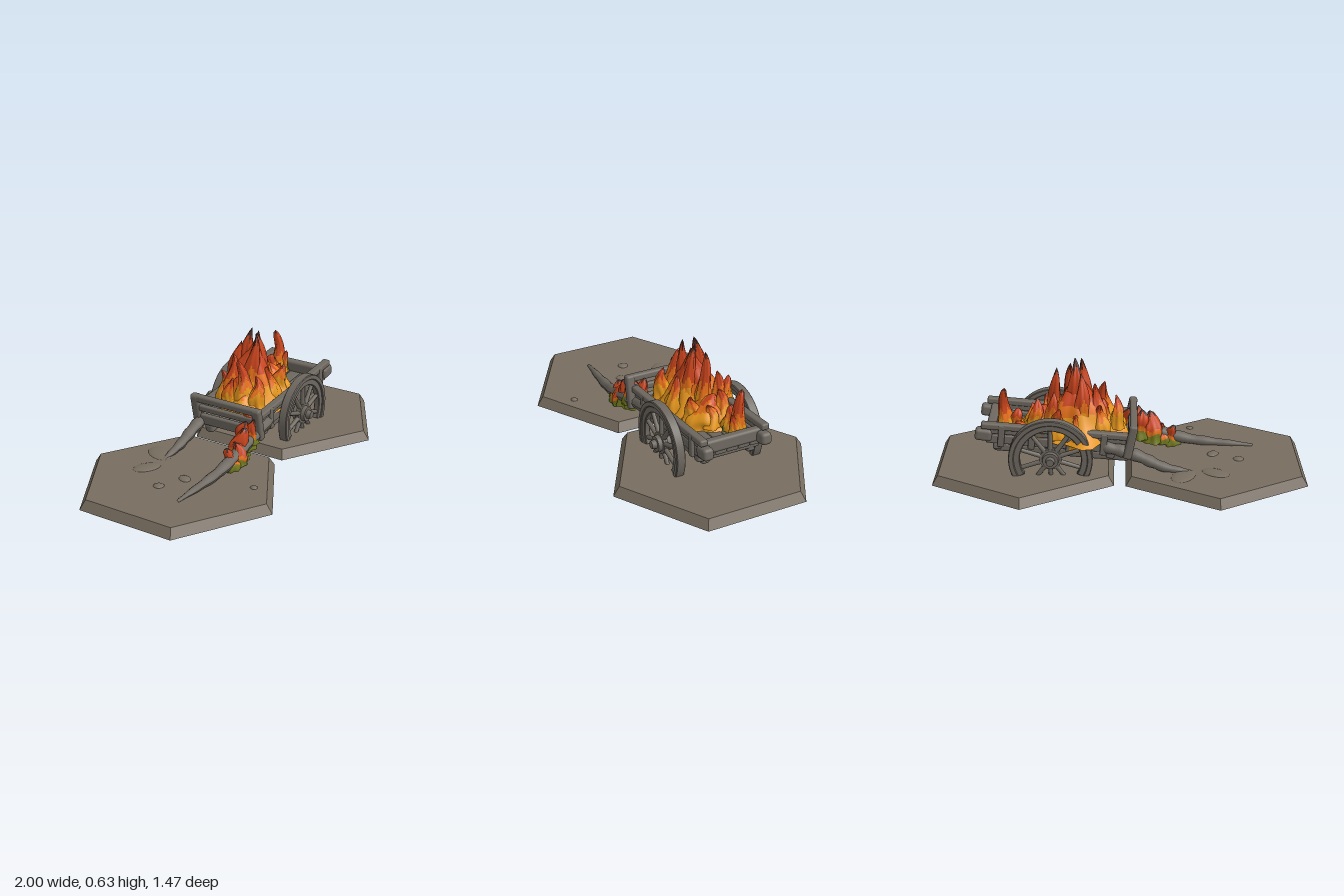
import * as THREE from 'three';
import { RoundedBoxGeometry } from 'three/addons/geometries/RoundedBoxGeometry.js';

const mat = (name, color) => {
  const m = new THREE.MeshStandardMaterial({ color });
  m.name = name;
  return m;
};

export function createModel() {
  const model = new THREE.Group();
  model.name = 'burningCart';
  const stone = mat('baseBrown', 0x776d60);
  const wood = mat('weatheredWood', 0x6d675f);
  const fire = [
    mat('mossGreen', 0x71781f), mat('amber', 0xe8981c), mat('orange', 0xe5701a),
    mat('redOrange', 0xc9441c), mat('char', 0x4a2a24),
  ];

  const add = (parent, name, geo, material, x = 0, y = 0, z = 0) => {
    const m = new THREE.Mesh(geo, material);
    m.name = name;
    m.position.set(x, y, z);
    parent.add(m);
    return m;
  };

  // Two bevelled hexagonal bases
  for (const [x, z] of [[-0.445, 0.25], [0.445, -0.255]]) {
    const geo = new THREE.CylinderGeometry(0.52, 0.555, 0.05, 6).toNonIndexed();
    geo.rotateY(Math.PI / 6);
    geo.computeVertexNormals();
    add(model, 'hexBase', geo, stone, x, 0.025, z);
  }

  // Low lumps of earth: x, z, width, depth
  for (const [x, z, w, d] of [[-0.55, 0.06, 0.08, 0.05], [-0.42, -0.06, 0.06, 0.09],
    [-0.43, 0.27, 0.03, 0.04], [-0.58, 0.28, 0.03, 0.03], [-0.16, 0.52, 0.02, 0.02]]) {
    add(model, 'earthLump', new THREE.SphereGeometry(1, 16, 8), stone, x, 0.048, z).scale.set(w, 0.012, d);
  }

  // Cart frame: local +x is the rear of the cart, local z runs across it
  const cart = new THREE.Group();
  cart.name = 'cart';
  cart.position.set(0.31, 0, -0.195);
  cart.rotation.y = Math.PI / 6;
  model.add(cart);

  const bed = new THREE.Group();
  bed.name = 'cartBed';
  bed.position.y = 0.225;
  bed.rotation.z = 0.09;
  cart.add(bed);
  const plank = (name, w, h, d, x, y, z, rz = 0) => {
    const m = add(bed, name, new RoundedBoxGeometry(w, h, d, 2, Math.min(w, h, d) * 0.3), wood, x, y, z);
    m.rotation.z = rz;
    return m;
  };

  // Floor boards and cross bearers
  for (let i = 0; i < 5; i++) plank('floorBoard', 0.76, 0.025, 0.064, -0.04, -0.03, (i - 2) * 0.066);
  for (const x of [-0.32, 0, 0.28]) plank('bearer', 0.045, 0.04, 0.36, x, -0.06, 0);

  // Side boards, rails and stakes
  for (const s of [-1, 1]) {
    plank('lowerSideBoard', 0.76, 0.05, 0.025, -0.04, -0.02, s * 0.168);
    plank('upperSideBoard', 0.74, 0.04, 0.022, -0.05, 0.03, s * 0.172);
    plank('sideRail', 0.78, 0.035, 0.045, -0.02, 0.055, s * 0.175);
    plank('chassisBeam', 0.72, 0.05, 0.05, -0.06, -0.075, s * 0.13);
    plank('railEnd', 0.09, 0.065, 0.06, 0.355, 0.0, s * 0.165, 0.06);
    for (const x of [-0.28, -0.1, 0.1, 0.26]) plank('sideStake', 0.035, 0.12, 0.02, x, 0.005, s * 0.19);
    plank('frontPost', 0.045, 0.19, 0.05, -0.42, 0.035, s * 0.195, 0.12);
  }
  plank('tailBeam', 0.05, 0.07, 0.35, 0.32, 0.01, 0);
  plank('frontTopBar', 0.04, 0.04, 0.44, -0.43, 0.11, 0);
  plank('frontMiddleBar', 0.03, 0.035, 0.4, -0.422, 0.05, 0);
  plank('frontBoard', 0.03, 0.06, 0.4, -0.415, -0.02, 0);

  // Half-sunk wheels: open arcs that end inside the base
  const arc = (outer, inner, depth, bevelSize) => {
    const cut = Math.asin(0.1 / outer), shape = new THREE.Shape();
    shape.absarc(0, 0, outer, -cut, Math.PI + cut, false);
    shape.absarc(0, 0, inner, Math.PI + cut, -cut, true);
    const geo = new THREE.ExtrudeGeometry(shape, {
      depth, curveSegments: 40, bevelSize, bevelThickness: bevelSize, bevelSegments: 1,
    });
    return geo.translate(0, 0, -depth / 2);
  };
  for (const s of [-1, 1]) {
    const wheel = new THREE.Group();
    wheel.name = 'wheel';
    wheel.position.set(0, 0.14, s * 0.225);
    cart.add(wheel);
    add(wheel, 'felloe', arc(0.205, 0.165, 0.025, 0.004), wood);
    add(wheel, 'tyre', arc(0.218, 0.197, 0.042, 0.004), wood);
    const parts = [['hub', 0.042, 0.05, 0.07, 0], ['hubRing', 0.058, 0.058, 0.025, 0], ['hubCap', 0.02, 0.026, 0.03, 0.045]];
    for (const [name, r1, r2, h, z] of parts) {
      add(wheel, name, new THREE.CylinderGeometry(r1, r2, h, 18), wood, 0, 0, s * z).rotation.x = s * Math.PI / 2;
    }
    for (let i = 0; i < 10; i++) {
      const a = i * Math.PI / 5 + Math.PI / 10, sin = Math.sin(a);
      const len = sin < 0 ? Math.min(0.18, 0.11 / -sin) : 0.18;
      const m = add(wheel, 'spoke', new THREE.CylinderGeometry(0.011, 0.015, len, 8), wood,
        Math.cos(a) * len / 2, sin * len / 2, 0);
      m.rotation.z = a - Math.PI / 2;
    }
  }
  add(cart, 'axle', new THREE.CylinderGeometry(0.025, 0.025, 0.45, 12), wood, 0, 0.14, 0).rotation.x = Math.PI / 2;

  // Tapered shafts sinking to the ground
  const shaft = (name, pts) => {
    const curve = new THREE.CatmullRomCurve3(pts.map(p => new THREE.Vector3(...p)));
    const n = 30, sides = 10, geo = new THREE.TubeGeometry(curve, n, 0.034, sides);
    const pos = geo.attributes.position, v = new THREE.Vector3();
    for (let i = 0; i <= n; i++) {
      const c = curve.getPointAt(i / n);
      const k = (1 - 0.75 * (i / n) ** 3) * (1 + 0.08 * Math.sin(i * 1.3));
      for (let j = 0; j <= sides; j++) {
        const id = i * (sides + 1) + j;
        v.fromBufferAttribute(pos, id).sub(c).multiplyScalar(k).add(c);
        pos.setXYZ(id, v.x, v.y, v.z);
      }
    }
    geo.computeVertexNormals();
    add(cart, name, geo, wood);
  };
  shaft('nearShaft', [[-0.28, 0.19, 0.17], [-0.5, 0.145, 0.18], [-0.75, 0.08, 0.17], [-1.1, 0.05, 0.145]]);
  shaft('farShaft', [[-0.28, 0.19, -0.17], [-0.45, 0.14, -0.18], [-0.6, 0.075, -0.19], [-0.75, 0.045, -0.19]]);

  // Flame tongue: a ridged, swaying cone coloured in bands by height
  let seed = 1;
  const flame = (name, x, y, z, r, h, { low = 0.28, high = 0.6, green = -1, power = 0.8 } = {}) => {
    const rings = 18, sides = 28, pos = [], lists = fire.map(() => []);
    const s = (seed += 1.7);
    for (let i = 0; i <= rings; i++) {
      const t = i / rings, sway = t * Math.min(r, 0.06) * 0.35;
      for (let j = 0; j < sides; j++) {
        const a = j / sides * Math.PI * 2;
        const ridge = 1 + 0.14 * Math.sin(3 * a + s + 4 * t) + 0.1 * Math.sin(7 * a + s * 2 - 3 * t) + 0.08 * Math.sin(9 * t + s);
        const rad = r * (1 - t) ** power * ridge;
        pos.push(x + rad * Math.cos(a) + sway * Math.sin(5 * t + s), y + h * t, z + rad * Math.sin(a) + sway * Math.cos(4 * t + s));
      }
    }
    for (let i = 0; i < rings; i++) for (let j = 0; j < sides; j++) {
      const t = (i + 0.5) / rings, a = j / sides * Math.PI * 2;
      const level = 0.4 * t + 0.6 * (y + h * t - low) / (high - low) + 0.06 * Math.sin(4 * a + s);
      const band = level < green ? 0 : level < 0.27 ? 1 : level < 0.45 ? 2 : level < 0.9 ? 3 : 4;
      const k = (j + 1) % sides, A = i * sides + j, B = i * sides + k, C = A + sides, D = B + sides;
      lists[band].push(A, C, B, B, C, D);
    }
    const geo = new THREE.BufferGeometry();
    geo.setAttribute('position', new THREE.Float32BufferAttribute(pos, 3));
    geo.setIndex(lists.flat());
    let start = 0;
    lists.forEach((l, i) => { if (l.length) geo.addGroup(start, l.length, i); start += l.length; });
    geo.computeVertexNormals();
    add(model, name, geo, fire);
  };

  // Main blaze: broad mounds, then tongues as x, z, radius, tip height
  flame('blazeMound', 0.18, 0.21, -0.16, 0.2, 0.37, { power: 1.1 });
  flame('blazeMound', 0.32, 0.21, -0.25, 0.16, 0.17);
  flame('blazeMound', 0.08, 0.21, -0.06, 0.13, 0.19);
  for (const [x, z, r, top] of [[0.18, -0.17, 0.07, 0.635], [0.16, -0.11, 0.06, 0.615], [0.22, -0.14, 0.06, 0.6],
    [0.275, -0.21, 0.055, 0.585], [0.12, -0.2, 0.06, 0.56], [0.055, -0.15, 0.055, 0.51], [0.07, -0.05, 0.06, 0.5],
    [0.25, -0.28, 0.055, 0.47], [-0.01, -0.05, 0.045, 0.42], [0.12, 0.01, 0.055, 0.42], [0.19, -0.32, 0.055, 0.41],
    [0.34, -0.3, 0.06, 0.42], [0.36, -0.16, 0.055, 0.39], [0.02, -0.17, 0.05, 0.41], [0.25, -0.06, 0.055, 0.43],
    [0.4, -0.25, 0.055, 0.36]]) {
    flame('blazeTongue', x, 0.24, z, r, top - 0.24, { power: 0.7 });
  }
  flame('sideSpill', 0.1, 0.17, -0.27, 0.06, 0.19, { power: 0.6 });

  // Small fire on the rear corner
  const rear = { low: 0.24, high: 0.52, green: 0.08, power: 0.45 };
  flame('rearFlame', 0.48, 0.23, -0.39, 0.042, 0.26, rear);
  flame('rearFlame', 0.43, 0.24, -0.35, 0.045, 0.13, rear);
  flame('rearFlame', 0.51, 0.24, -0.37, 0.03, 0.13, rear);
  flame('rearEmbers', 0.39, 0.23, -0.38, 0.05, 0.08, { ...rear, green: 0.3 });

  // Fire creeping down the near shaft
  for (const [x, y, z, r, h] of [[0.02, 0.14, 0.13, 0.045, 0.15], [-0.03, 0.1, 0.18, 0.055, 0.16],
    [-0.08, 0.075, 0.21, 0.06, 0.17], [-0.12, 0.06, 0.25, 0.055, 0.12], [-0.17, 0.05, 0.28, 0.045, 0.12], [0, 0.13, 0.2, 0.035, 0.14]]) {
    flame('shaftFlame', x, y, z, r, h, { low: y, high: y + h, green: 0.3, power: 0.5 });
  }
  return model;
}
